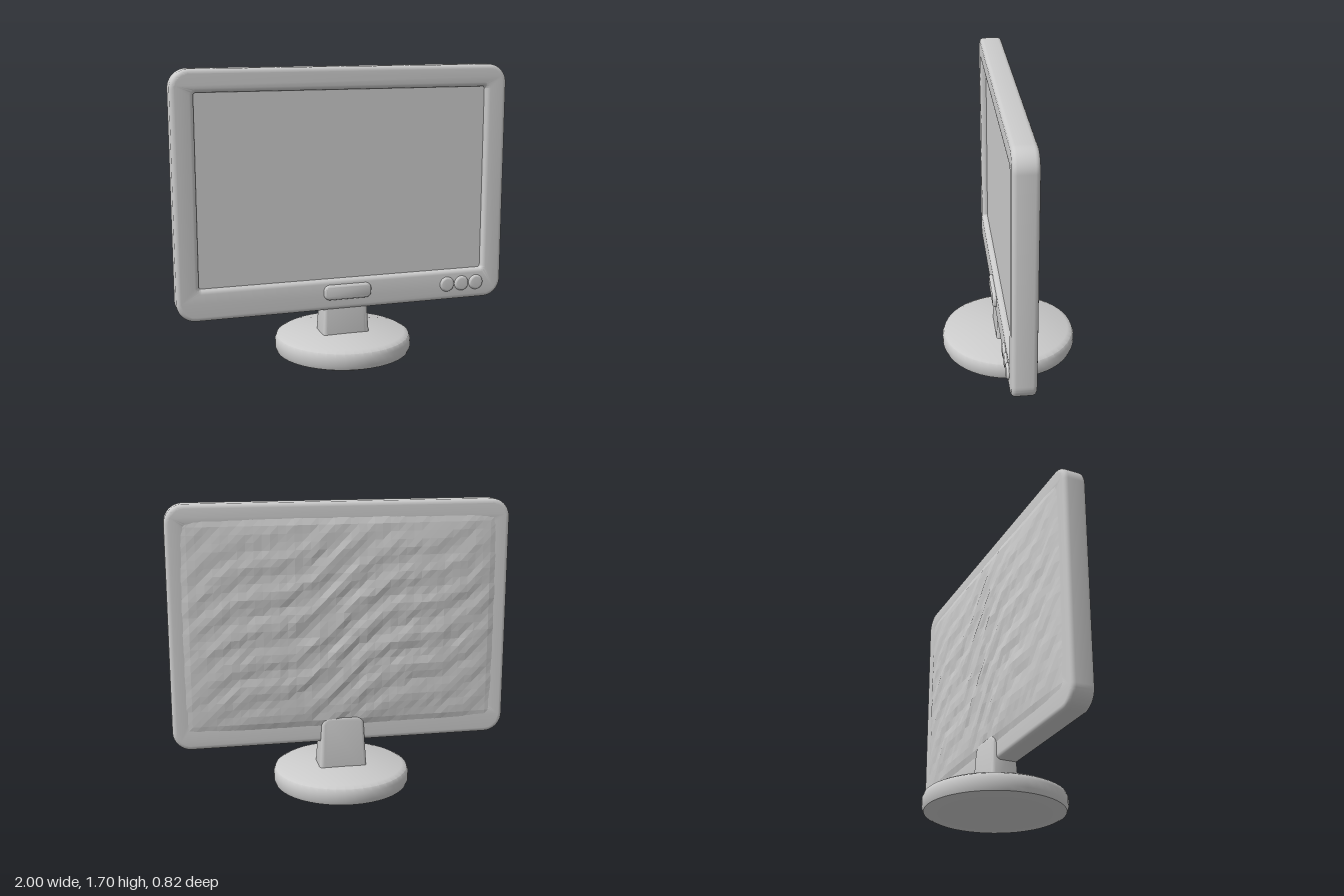
import * as THREE from 'three';
import { toCreasedNormals } from 'three/addons/utils/BufferGeometryUtils.js';

const material = new THREE.MeshStandardMaterial({ color: 0xcccccc });
const faceted = new THREE.MeshStandardMaterial({ color: 0xcccccc, flatShading: true });

// Rounded rectangle outline, usable as a shape or a hole
function roundedRect(x0, y0, x1, y1, r, Type = THREE.Shape) {
  const s = new Type();
  s.absarc(x1 - r, y0 + r, r, -Math.PI / 2, 0);
  s.absarc(x1 - r, y1 - r, r, 0, Math.PI / 2);
  s.absarc(x0 + r, y1 - r, r, Math.PI / 2, Math.PI);
  s.absarc(x0 + r, y0 + r, r, Math.PI, Math.PI * 1.5);
  s.closePath();
  return s;
}

// Extrude between two z values, with the bevel kept inside the outline
function slab(shape, z0, z1, bevel) {
  const g = new THREE.ExtrudeGeometry(shape, {
    depth: z1 - z0 - 2 * bevel, bevelThickness: bevel, bevelSize: bevel,
    bevelOffset: -bevel, bevelSegments: 4, curveSegments: 10,
  });
  return g.translate(0, 0, z0 + bevel);
}

const smooth = (g) => toCreasedNormals(g, 0.7);

// Back cover: a shallow dome with diagonal crumpled ripples
function backCover() {
  const w = 1.86, h = 1.25, cy = 0.995;
  const g = new THREE.PlaneGeometry(w, h, 40, 27).rotateY(Math.PI);
  const p = g.attributes.position;
  for (let i = 0; i < p.count; i++) {
    const x = p.getX(i), y = p.getY(i);
    const u = (2 * x) / w, v = (2 * y) / h;
    const rise = Math.pow(Math.max(0, (1 - u * u) * (1 - v * v)), 0.45);
    const n = Math.sin(i * 127.1) * 43758.5453;
    const jitter = n - Math.floor(n) - 0.5;
    const ripple = Math.sin(18 * x + 34 * y + 2 * Math.sin(7 * x)) + jitter * 1.4;
    p.setZ(i, -0.049 - rise * (0.035 + 0.005 * ripple));
  }
  return g.translate(0, cy, 0);
}

// Neck: arched outline that narrows in depth and width towards the top
function neckGeometry() {
  const g = slab(roundedRect(-0.14, 0.06, 0.14, 0.43, 0.05), -0.085, 0.085, 0.02);
  const p = g.attributes.position;
  for (let i = 0; i < p.count; i++) {
    const t = Math.min(1, Math.max(0, (p.getY(i) - 0.1) / 0.32));
    p.setX(i, p.getX(i) * (1.03 - 0.14 * t));
    p.setZ(i, p.getZ(i) * (1 - 0.2 * t));
  }
  return g;
}

export function createModel() {
  const group = new THREE.Group();
  const add = (name, geometry, mat = material) => {
    const mesh = new THREE.Mesh(geometry, mat);
    mesh.name = name;
    group.add(mesh);
    return mesh;
  };

  // Bezel with screen opening
  const bezel = roundedRect(-1, 0.275, 1, 1.7, 0.11);
  bezel.holes.push(roundedRect(-0.87, 0.46, 0.87, 1.57, 0.015, THREE.Path));
  add('bezel', smooth(slab(bezel, -0.052, 0.085, 0.025)));

  // Recessed screen and domed back
  add('screen', new THREE.BoxGeometry(1.78, 1.15, 0.06).translate(0, 1.015, 0.02));
  add('backCover', backCover(), faceted);

  // Name plate and buttons under the screen
  add('namePlate', smooth(slab(roundedRect(-0.14, 0.34, 0.15, 0.43, 0.035), 0.06, 0.106, 0.015)));
  [0.64, 0.735, 0.83].forEach((x, i) => {
    const disc = new THREE.Shape().absarc(0, 0, 0.046, 0, Math.PI * 2);
    add(`button${i + 1}`, smooth(slab(disc, 0.06, 0.1, 0.014))).position.set(x, 0.375, 0);
  });

  // Neck and round foot
  add('neck', smooth(neckGeometry()));
  const foot = [[0, 0], [0.375, 0], [0.398, 0.01], [0.408, 0.035], [0.408, 0.08],
    [0.398, 0.105], [0.37, 0.12], [0, 0.125]].map(([r, y]) => new THREE.Vector2(r, y));
  add('foot', smooth(new THREE.LatheGeometry(foot, 48)));

  return group;
}
